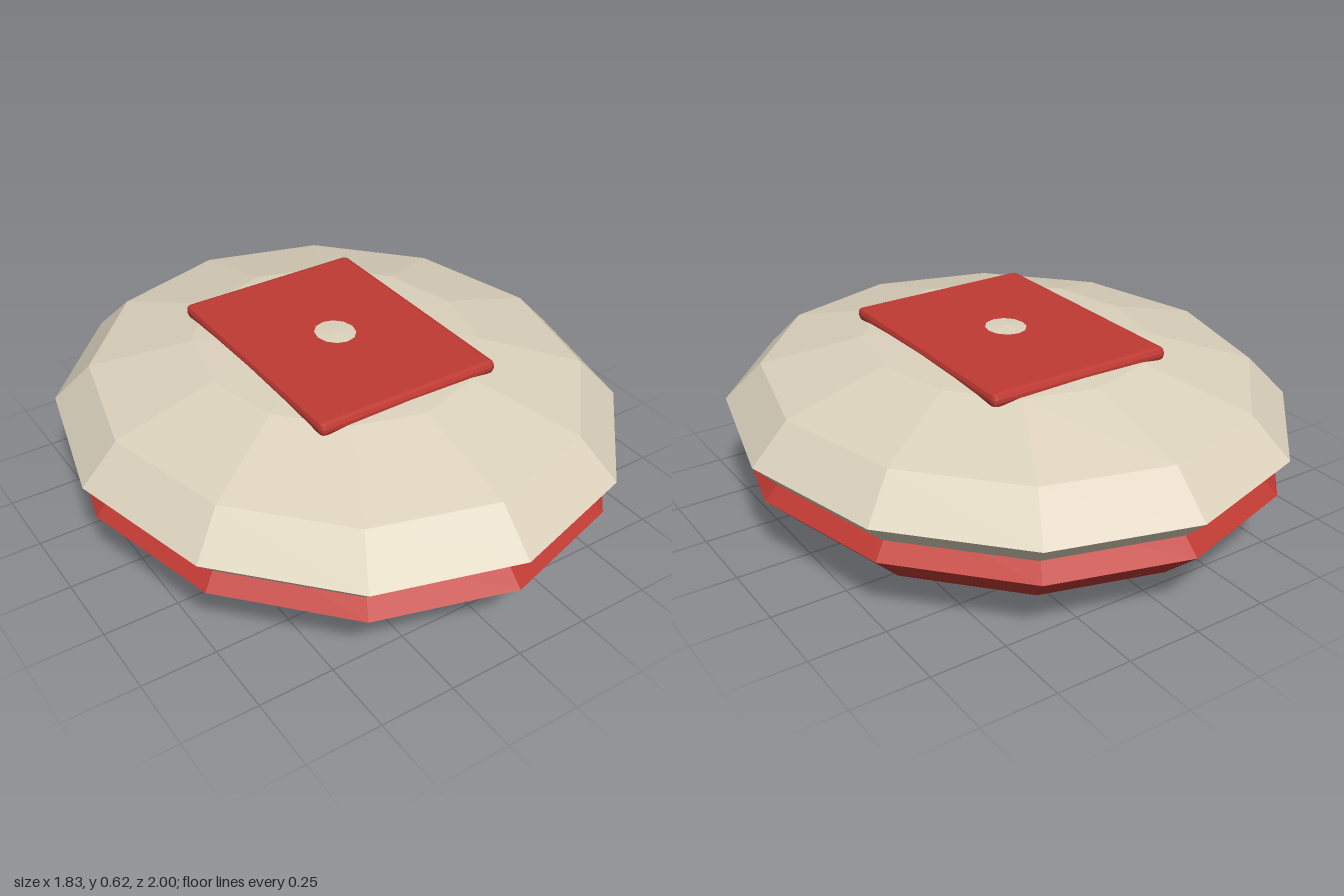
import * as THREE from 'three';
import { RoundedBoxGeometry } from 'three/addons/geometries/RoundedBoxGeometry.js';

const cream = new THREE.MeshStandardMaterial({ color: 0xdcd2bd, flatShading: true });
cream.name = 'cream';
const red = new THREE.MeshStandardMaterial({ color: 0xbf3a33, flatShading: true });
red.name = 'red';

// Flattened low-poly ellipsoid centred at height y
function shell(name, material, rx, ry, rz, y) {
  const geometry = new THREE.SphereGeometry(1, 12, 6);
  geometry.scale(rx, ry, rz);
  const mesh = new THREE.Mesh(geometry, material);
  mesh.name = name;
  mesh.position.y = y;
  return mesh;
}

export function createModel() {
  const group = new THREE.Group();
  group.name = 'shellBody';

  // Lower and upper halves overlap, leaving a groove where they meet
  group.add(shell('lowerShell', red, 0.884, 0.235, 0.974, 0.235));
  group.add(shell('upperShell', cream, 0.915, 0.255, 1, 0.36));

  // Chamfered plate on top, with the tip of the upper shell showing through
  const plate = new THREE.Mesh(new RoundedBoxGeometry(0.65, 0.045, 0.85, 1, 0.017), red);
  plate.name = 'topPlate';
  plate.position.y = 0.5875;
  group.add(plate);

  return group;
}
